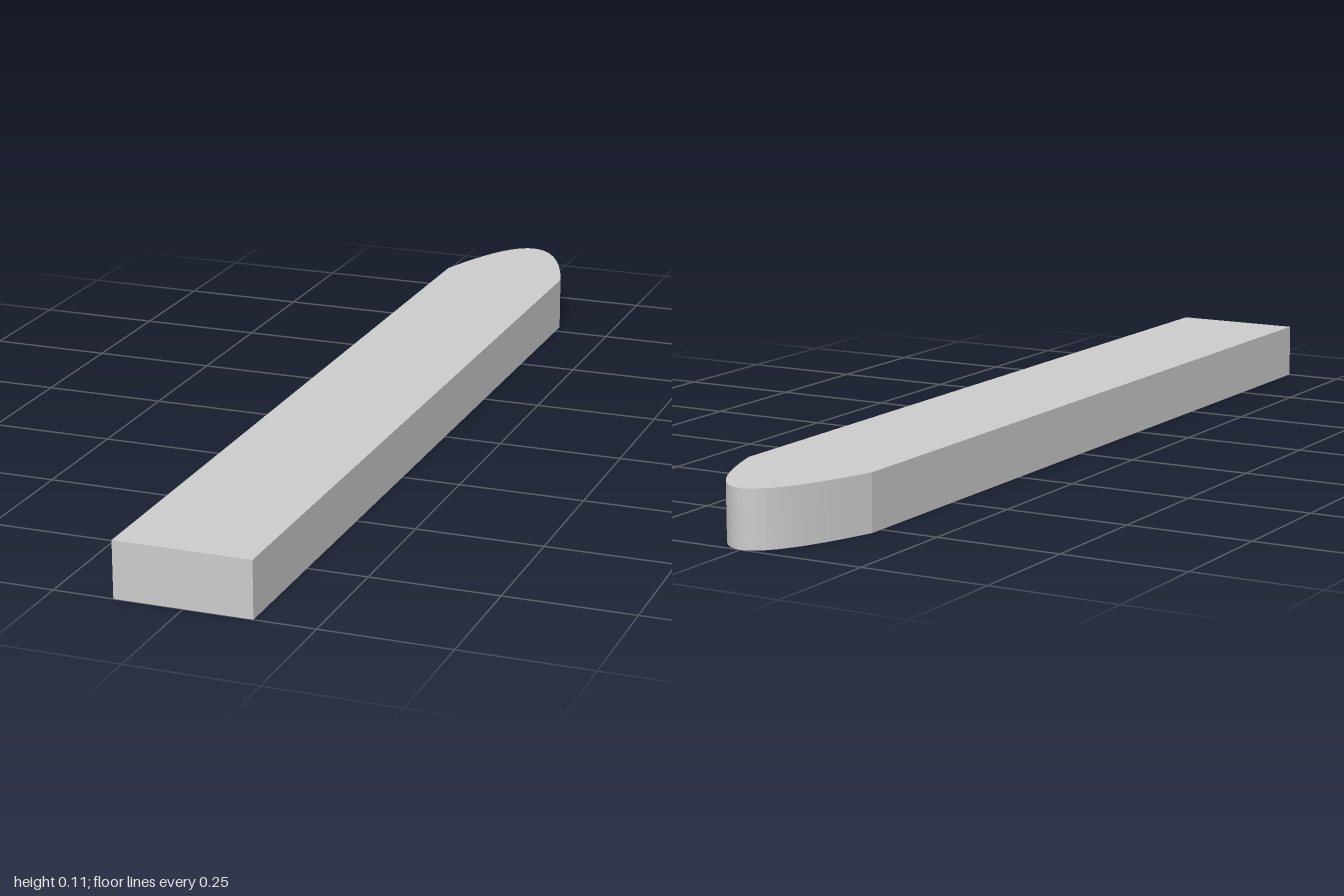
import * as THREE from 'three';
import { toCreasedNormals } from 'three/addons/utils/BufferGeometryUtils.js';

const HALF_WIDTH = 0.133;
const HEIGHT = 0.111;
const SHOULDER = 0.78; // where the straight sides meet the rounded tip

export function createModel() {
  const group = new THREE.Group();
  group.name = 'keyBar';

  // Plan outline: straight bar with a parabolic tip (shape +y becomes -z)
  const outline = new THREE.Shape();
  outline.moveTo(-HALF_WIDTH, -1);
  outline.lineTo(HALF_WIDTH, -1);
  outline.lineTo(HALF_WIDTH, SHOULDER);
  outline.quadraticCurveTo(0, 2 - SHOULDER, -HALF_WIDTH, SHOULDER);
  outline.closePath();

  const extruded = new THREE.ExtrudeGeometry(outline, {
    depth: HEIGHT,
    bevelEnabled: false,
    curveSegments: 48,
  });
  extruded.rotateX(-Math.PI / 2);

  // Smooth around the tip, sharp at the shoulders and rims
  const geometry = toCreasedNormals(extruded, 0.2);
  const bar = new THREE.Mesh(geometry, new THREE.MeshStandardMaterial({ color: 0xcccccc }));
  bar.name = 'pointedBar';
  group.add(bar);

  return group;
}
